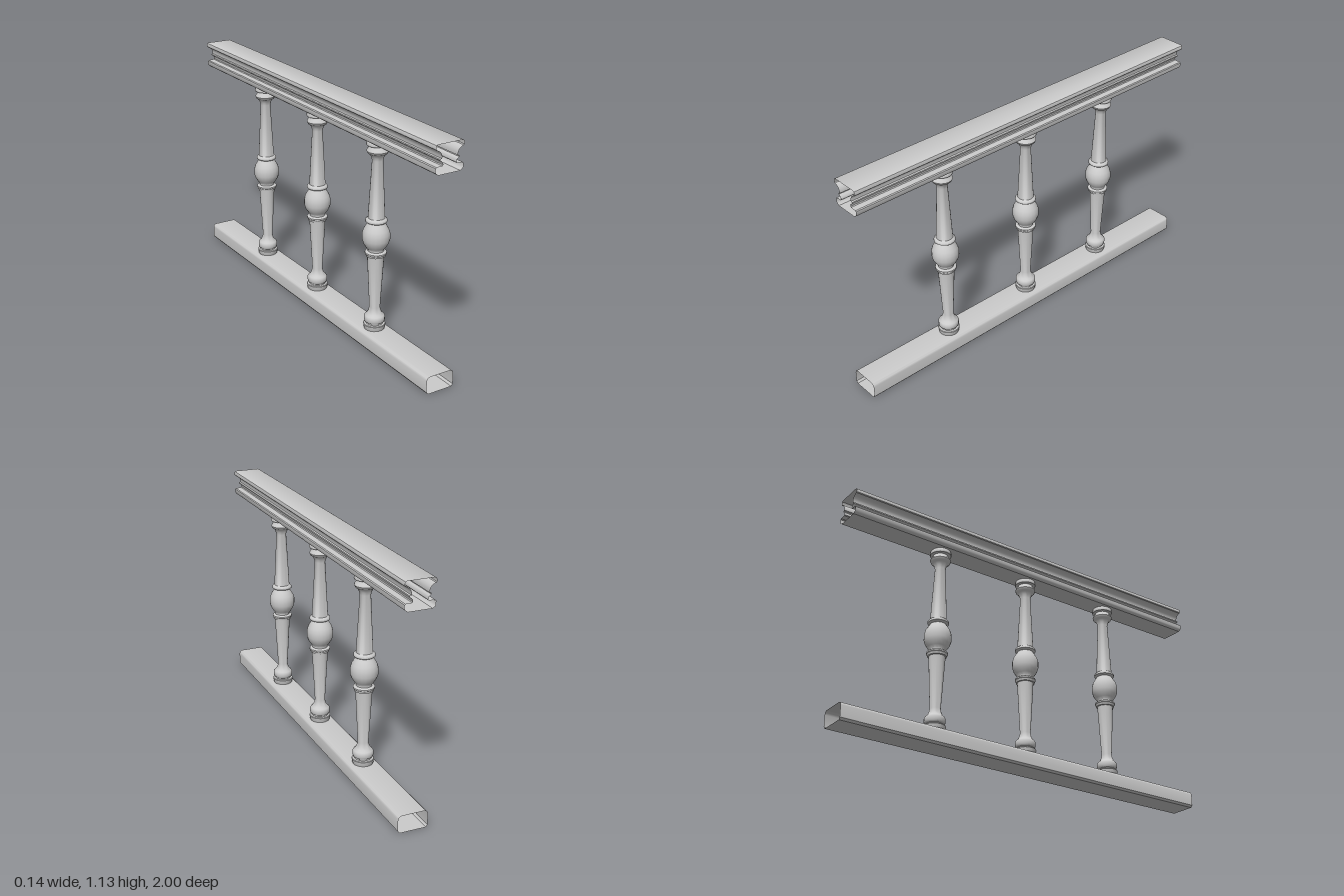
import * as THREE from 'three';
import { toCreasedNormals } from 'three/addons/utils/BufferGeometryUtils.js';

const material = new THREE.MeshStandardMaterial({ color: 0xcccccc, side: THREE.DoubleSide });

// Open-ended hollow rail: half profile (top to bottom), mirrored in x and swept along z
function makeRail(name, half) {
  const mirrored = half.map(([x, y]) => [-x, y]).reverse();
  const loop = [...half, ...mirrored, half[0]];
  const geometry = new THREE.PlaneGeometry(1, 1, loop.length - 1, 1);
  const position = geometry.attributes.position;
  for (let i = 0; i < position.count; i++) {
    const [x, y] = loop[i % loop.length];
    position.setXYZ(i, x, y, i < loop.length ? -1 : 1);
  }
  const rail = new THREE.Mesh(toCreasedNormals(geometry, 0.6), material);
  rail.name = name;
  return rail;
}

// Turned baluster: radius, height from bottom to top
const balusterProfile = [
  // foot
  [0, 0.082], [0.047, 0.082], [0.049, 0.088], [0.052, 0.105], [0.050, 0.108], [0.040, 0.109],
  [0.040, 0.115], [0.046, 0.119], [0.049, 0.128], [0.049, 0.143], [0.045, 0.150],
  [0.036, 0.158], [0.029, 0.172], [0.025, 0.190],
  // lower shaft and ring
  [0.039, 0.446], [0.045, 0.448], [0.046, 0.456], [0.050, 0.460], [0.050, 0.467],
  [0.045, 0.471], [0.037, 0.473],
  // bulb
  [0.037, 0.480], [0.047, 0.493], [0.058, 0.511], [0.064, 0.530], [0.064, 0.558],
  [0.058, 0.578], [0.047, 0.597], [0.038, 0.610],
  // upper ring and shaft
  [0.045, 0.613], [0.050, 0.617], [0.050, 0.625], [0.045, 0.631], [0.039, 0.634],
  [0.025, 0.905],
  // head
  [0.029, 0.920], [0.036, 0.934], [0.045, 0.939], [0.050, 0.950], [0.047, 0.958],
  [0.038, 0.968], [0.036, 0.975], [0.050, 0.977], [0.052, 0.981], [0.049, 0.996],
  [0.045, 1.0], [0, 1.0],
].map(([r, y]) => new THREE.Vector2(r, y));

export function createModel() {
  const group = new THREE.Group();

  // Moulded handrail with a cove and a groove on each side
  group.add(makeRail('handrail', [
    [0.064, 1.13], [0.069, 1.127], [0.071, 1.122], [0.071, 1.110], [0.068, 1.106],
    [0.060, 1.104], [0.051, 1.099], [0.044, 1.090], [0.040, 1.079], [0.040, 1.068],
    [0.048, 1.066], [0.048, 1.060], [0.040, 1.056], [0.034, 1.049], [0.033, 1.040],
    [0.036, 1.036], [0.066, 1.035], [0.070, 1.031], [0.070, 1.014], [0.066, 1.007],
    [0.056, 1.0],
  ]));

  // Bottom rail with rounded upper edges and small lower chamfers
  group.add(makeRail('bottomRail', [
    [0.054, 0.082], [0.062, 0.080], [0.068, 0.074], [0.071, 0.065],
    [0.071, 0.010], [0.063, 0],
  ]));

  // Three evenly spaced balusters
  const balusterGeometry = toCreasedNormals(new THREE.LatheGeometry(balusterProfile, 20), 0.7);
  for (const z of [0.5, 0, -0.5]) {
    const baluster = new THREE.Mesh(balusterGeometry, material);
    baluster.name = 'baluster';
    baluster.position.z = z;
    group.add(baluster);
  }
  return group;
}
